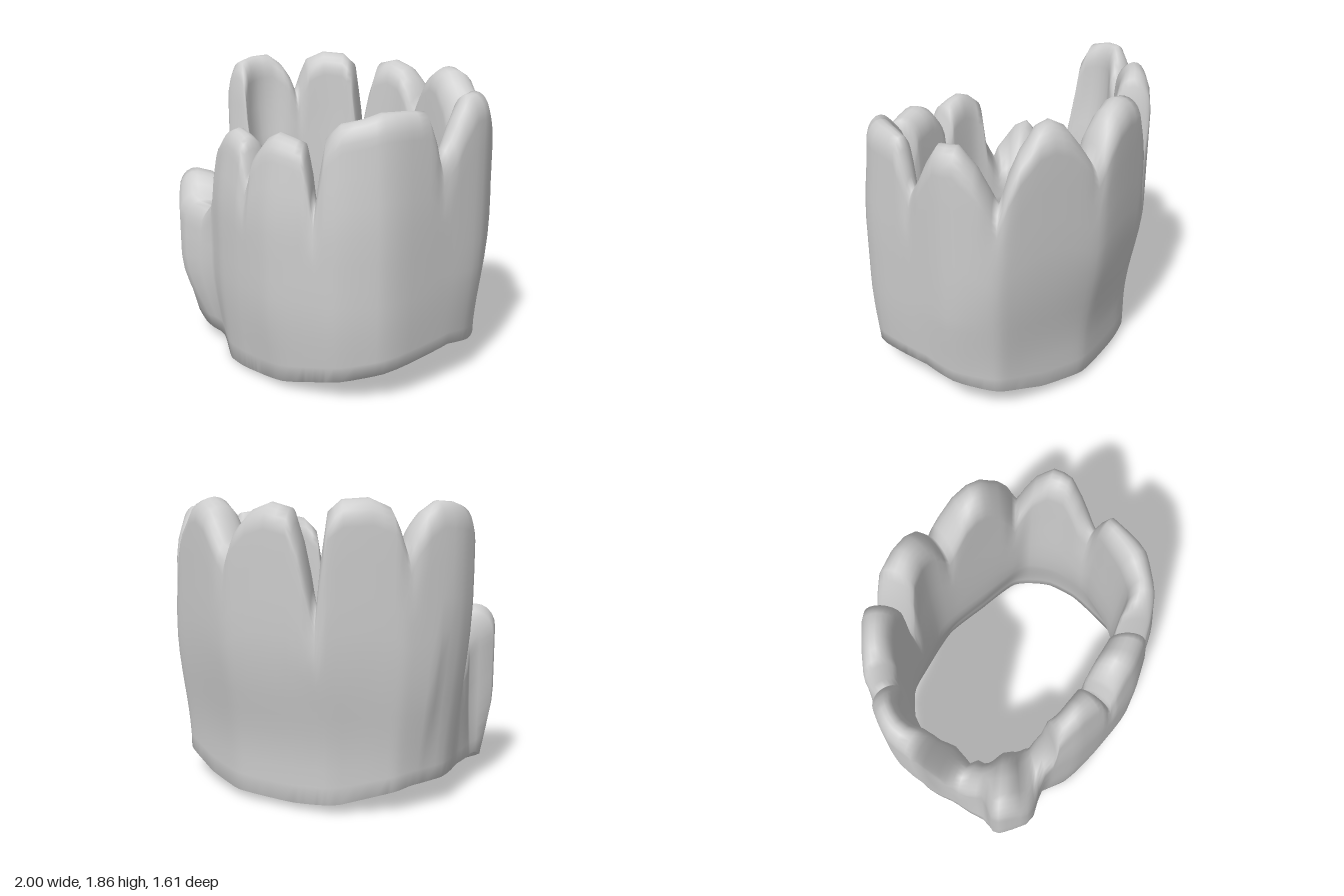
import * as THREE from 'three';

const { lerp, smoothstep, degToRad } = THREE.MathUtils;

// Closed plan curve through x, z corners, only lightly rounded
function outline(corners) {
  const points = corners.map(([x, z]) => new THREE.Vector3(x, 0, z));
  const curve = new THREE.CatmullRomCurve3(points, true, 'catmullrom', 0.25);
  return curve.getPoints(200).slice(0, -1).map((p) => [p.x, p.z]);
}

// Plan outlines of the wall: widest outside, lower rim outside, and inside
const OUTER = outline([[0.995, -0.24], [0.95, 0.05], [0.86, 0.46], [0.64, 0.68], [0.22, 0.8], [-0.1, 0.76],
  [-0.32, 0.7], [-0.54, 0.59], [-0.77, 0.64], [-0.95, 0.49], [-0.93, 0.42], [-0.85, 0.33], [-0.89, 0.18],
  [-0.93, 0.05], [-1, -0.02], [-0.98, -0.2], [-0.78, -0.48], [-0.4, -0.75], [-0.2, -0.79], [0.25, -0.8], [0.86, -0.51]]);
const BASE = outline([[0.93, -0.22], [0.92, 0.05], [0.83, 0.42], [0.61, 0.62], [0.27, 0.72], [-0.1, 0.7],
  [-0.3, 0.64], [-0.53, 0.48], [-0.68, 0.45], [-0.88, 0.39], [-0.87, 0.1], [-0.88, -0.15], [-0.72, -0.44],
  [-0.4, -0.65], [-0.2, -0.69], [0.25, -0.7], [0.8, -0.47]]);
const INNER = outline([[0.8, -0.13], [0.78, 0.1], [0.73, 0.2], [0.53, 0.49], [0, 0.51], [-0.28, 0.48],
  [-0.58, 0.23], [-0.74, -0.1], [-0.62, -0.34], [-0.4, -0.5], [0, -0.57], [0.2, -0.53], [0.72, -0.33]]);

// Heights of the lower rim and of the fingered upper rim, as degrees, y
const BOTTOM = [[0, 0.25], [25, 0.2], [45, 0.13], [70, 0.05], [80, 0.035], [115, 0], [135, 0.07], [147, 0.07],
  [157, 0.18], [168, 0.18], [180, 0.18], [205, 0.16], [235, 0.06], [258, 0.04], [290, 0.05], [312, 0.08], [330, 0.16]];
const LOBES = [
  [[5, 1.4], [8, 1.55], [12, 1.69], [20, 1.7], [30, 1.7], [36, 1.67], [45, 1.64], [51, 1.55], [53.5, 1.35]],
  [[55.5, 1.15], [58, 1.37], [61, 1.51], [67, 1.53], [75, 1.55], [81, 1.52], [88, 1.43], [90.5, 1.34]],
  [[92.4, 1.26], [95, 1.36], [98.5, 1.47], [104, 1.5], [111, 1.52], [118, 1.49], [125, 1.42], [128, 1.15]],
  [[136, 0.95], [142, 1.02], [147, 1.12], [152, 1.15], [157, 1.07], [162, 0.96]],
  [[170, 0.85], [175, 1], [178, 1.35], [180, 1.7], [183, 1.8], [190, 1.83], [197, 1.84], [202, 1.78], [206, 1.69]],
  [[209, 1.58], [212, 1.71], [215, 1.81], [223, 1.86], [234, 1.85], [240, 1.78], [243, 1.5]],
  [[245, 1.22], [248.5, 1.45], [252, 1.63], [257, 1.8], [267, 1.83], [276, 1.79], [283, 1.7]],
  [[289, 1.54], [296, 1.67], [303, 1.79], [310, 1.84], [316, 1.82], [323, 1.7], [327, 1.58]],
  [[330.6, 1.4], [334, 1.52], [338, 1.65], [344, 1.76], [351, 1.75], [356, 1.63], [360, 1.51]],
];
const TOP = LOBES.flat();

// Height at an angle, joined round the full circle
function heightAt(table, deg) {
  const n = table.length;
  for (let i = -1; i < n; i++) {
    const a = table[(i + n) % n], b = table[(i + 1) % n];
    const a0 = i < 0 ? a[0] - 360 : a[0], b0 = i === n - 1 ? b[0] + 360 : b[0];
    if (deg >= a0 && deg <= b0) return lerp(a[1], b[1], (deg - a0) / (b0 - a0));
  }
}

// Distance from the centre to an outline along one direction
function radiusAt(line, dx, dz) {
  for (let i = 0; i < line.length; i++) {
    const [px, pz] = line[i], [qx, qz] = line[(i + 1) % line.length];
    if (px * dz - pz * dx >= -1e-9 && dx * qz - dz * qx > 0)
      return (px * qz - pz * qx) / (dx * (qz - pz) - dz * (qx - px));
  }
}

// 1 within the near distance of an angle, fading to 0 at the far one
function around(deg, centre, near, far) {
  return 1 - smoothstep(Math.abs(((deg - centre + 540) % 360) - 180), near, far);
}

// Closed section through the wall: up the outside, over the rounded rim, down the inside
function section(deg) {
  const dx = Math.cos(degToRad(deg)), dz = Math.sin(degToRad(deg));
  const wide = radiusAt(OUTER, dx, dz), base = radiusAt(BASE, dx, dz), core = radiusAt(INNER, dx, dz);
  const low = heightAt(BOTTOM, deg), top = heightAt(TOP, deg);

  // The thumb slopes down towards the inside; the finger beside it is thin and leans out
  const drop = 0.2 * around(deg, 152, 6, 16);
  const side = around(deg, 184, 10, 24);
  const cap = 0.15, shoulder = top - cap, mid = Math.min(0.7, shoulder - drop - 0.05);

  // Front fingers lean in; the back bulges out higher up than the front
  const lean = 0.07 * Math.max(0, dz);
  const back = smoothstep(-dz, -0.5, 0.8);
  const full = Math.max(lerp(0.6, 1.05, back), 1.35 * side);

  // The wall narrows in the short groove below every gap between fingers
  let groove = 0, gapY = 0;
  for (const [[gap, y]] of LOBES) {
    const near = around(deg, gap, 0, 5);
    if (near > groove) [groove, gapY] = [near, y];
  }
  const pinch = (y) => 0.025 * groove * smoothstep(y, gapY - 0.3, gapY);
  const outside = (y) => lerp(base, wide, smoothstep(y, lerp(-0.2, 0.25, back), full))
    - lean * smoothstep(y, 1, 1.6) - pinch(y);
  const inside = (y) => lerp(base - 0.03, core, smoothstep(y, low - 0.05, low + 0.65))
    + (0.02 + 0.08 * side) * smoothstep(y, 0.9, 1.6) + pinch(y);

  const column = (end) => [0, 1, 2, 3, 4, 5].map((i) => lerp(low, mid, i / 6))
    .concat([0, 1, 2, 3, 4, 5].map((i) => lerp(mid, end, i / 5)));
  const points = column(shoulder).map((y) => [outside(y), y]);
  const inShoulder = shoulder - drop;
  const ro = outside(shoulder), ri = inside(inShoulder);
  const ridge = ro - Math.min((ro - ri) / 2, 0.13);
  for (let i = 1; i < 10; i++) {
    const t = (i / 10) * Math.PI, c = Math.cos(t), start = c > 0 ? shoulder : inShoulder;
    points.push([lerp(ridge, c > 0 ? ro : ri, Math.abs(c)), lerp(start, top, Math.sin(t))]);
  }
  for (const y of column(inShoulder).reverse()) points.push([inside(y), y]);
  return points.map(([r, y]) => [r * dx, y, r * dz]);
}

export function createModel() {
  // Columns at every rim point and halfway between
  const angles = [];
  TOP.forEach(([a], i) => {
    const b = i + 1 < TOP.length ? TOP[i + 1][0] : TOP[0][0] + 360;
    angles.push(a % 360, ((a + b) / 2) % 360);
  });
  angles.sort((a, b) => a - b);

  const sections = angles.map(section), n = sections.length, m = sections[0].length;
  const index = [];
  for (let i = 0; i < n; i++) {
    for (let j = 0; j < m; j++) {
      const k = (i + 1) % n, l = (j + 1) % m;
      const a = i * m + j, b = i * m + l, c = k * m + l, d = k * m + j;
      index.push(a, b, d, b, c, d);
    }
  }
  const geometry = new THREE.BufferGeometry();
  geometry.setAttribute('position', new THREE.Float32BufferAttribute(sections.flat(2), 3));
  geometry.setIndex(index);
  geometry.computeVertexNormals();

  const wall = new THREE.Mesh(geometry, new THREE.MeshStandardMaterial({ color: 0xcccccc }));
  wall.name = 'fingeredRingWall';
  const group = new THREE.Group();
  group.name = 'hollowCrown';
  group.add(wall);
  return group;
}
